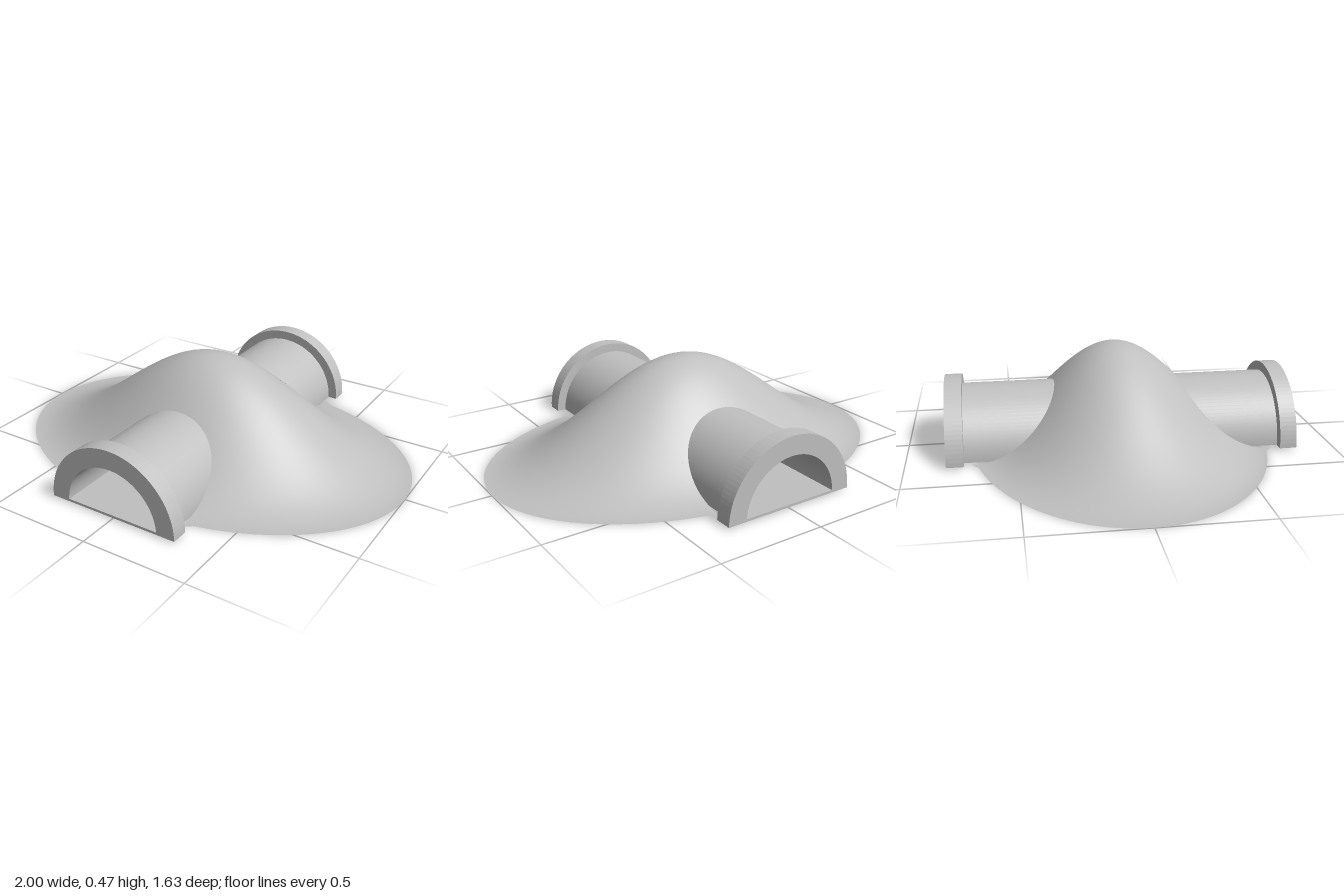
import * as THREE from 'three';

const HEIGHT = 0.47, DEPTH = 0.707; // mound height and half depth (half width is 1)
const R_OUT = 0.28, R_IN = 0.235, BASE = 0.01; // tunnel radii and floor level
const PORTAL_START = 0.735, PORTAL_END = 0.815;

// Cosine-bell height of the mound at (x, z)
const moundR = (x, z) => Math.min(1, Math.hypot(x, z / DEPTH));
const moundY = (x, z) => HEIGHT / 2 * (1 + Math.cos(Math.PI * moundR(x, z)));

// Where the mound meets the tunnel roof in the column at x
function roofLimit(x) {
  const y = BASE + Math.sqrt(Math.max(0, R_OUT * R_OUT - x * x));
  const r = Math.acos(2 * y / HEIGHT - 1) / Math.PI;
  return DEPTH * Math.sqrt(Math.max(0, r * r - x * x));
}

// Oval footprint with a small flare next to the tunnel
function footLimit(x) {
  const a = Math.abs(x);
  return DEPTH * Math.sqrt(Math.max(0, 1 - a * a)) + 0.025 * Math.max(0, 1 - (a - R_OUT) / 0.04);
}

// Surface patch made of columns along z, with exact smooth normals
function moundPatch(columns, limit) {
  const rows = 72, pos = [], nor = [], idx = [];
  columns.forEach((x, i) => {
    const zMax = limit(x);
    for (let j = 0; j <= rows; j++) {
      const z = zMax * (2 * j / rows - 1), r = moundR(x, z);
      pos.push(x, moundY(x, z), z);
      const slope = HEIGHT / 2 * Math.PI * Math.sin(Math.PI * r) / Math.max(r, 1e-4);
      const n = new THREE.Vector3(slope * x, 1, slope * z / (DEPTH * DEPTH)).normalize();
      nor.push(n.x, n.y, n.z);
      if (i && j) {
        const d = i * (rows + 1) + j, c = d - 1, b = d - rows - 1, a = b - 1;
        idx.push(a, b, c, b, d, c);
      }
    }
  });
  const g = new THREE.BufferGeometry();
  g.setAttribute('position', new THREE.Float32BufferAttribute(pos, 3));
  g.setAttribute('normal', new THREE.Float32BufferAttribute(nor, 3));
  g.setIndex(idx);
  return g;
}

// Half tube along z, arching upward
function halfTube(radius, length) {
  const g = new THREE.CylinderGeometry(radius, radius, length, 48, 1, true, -Math.PI / 2, Math.PI);
  return g.rotateX(-Math.PI / 2).translate(0, BASE, 0);
}

export function createModel() {
  const model = new THREE.Group();
  const grey = new THREE.MeshStandardMaterial({ color: 0xc0c0c0, side: THREE.DoubleSide });
  grey.name = 'stoneGrey';
  const add = (name, geometry) => {
    const mesh = new THREE.Mesh(geometry, grey);
    mesh.name = name;
    model.add(mesh);
    return mesh;
  };

  // Mound: crown over the tunnel and a skirt at each side
  const steps = Array.from({ length: 61 }, (_, i) => i / 60);
  const crown = steps.map(t => R_OUT * Math.sin((t - 0.5) * Math.PI));
  const skirt = steps.map(t => R_OUT + (1 - R_OUT) * Math.sin(t * Math.PI / 2));
  add('moundCrown', moundPatch(crown, roofLimit));
  add('moundLeft', moundPatch(skirt, footLimit));
  add('moundRight', moundPatch(skirt.map(x => -x).reverse(), footLimit));

  // Tunnel running right through the mound
  add('tunnelOuterWall', halfTube(R_OUT, 2 * PORTAL_START));
  add('tunnelInnerWall', halfTube(R_IN, 2 * PORTAL_END - 0.01));
  const floor = new THREE.BoxGeometry(2 * R_OUT - 0.01, 0.012, 2 * PORTAL_END);
  add('tunnelFloor', floor.translate(0, BASE + 0.006, 0));

  // Arched collar at each mouth
  const arch = new THREE.Shape();
  arch.absarc(0, 0, 0.325, 0, Math.PI, false);
  arch.absarc(0, 0, R_IN, Math.PI, 0, true);
  arch.closePath();
  const depth = PORTAL_END - PORTAL_START;
  const collar = new THREE.ExtrudeGeometry(arch, { depth, bevelEnabled: false, curveSegments: 24 });
  add('frontCollar', collar).position.set(0, BASE, PORTAL_START);
  add('backCollar', collar).position.set(0, BASE, -PORTAL_END);

  return model;
}
